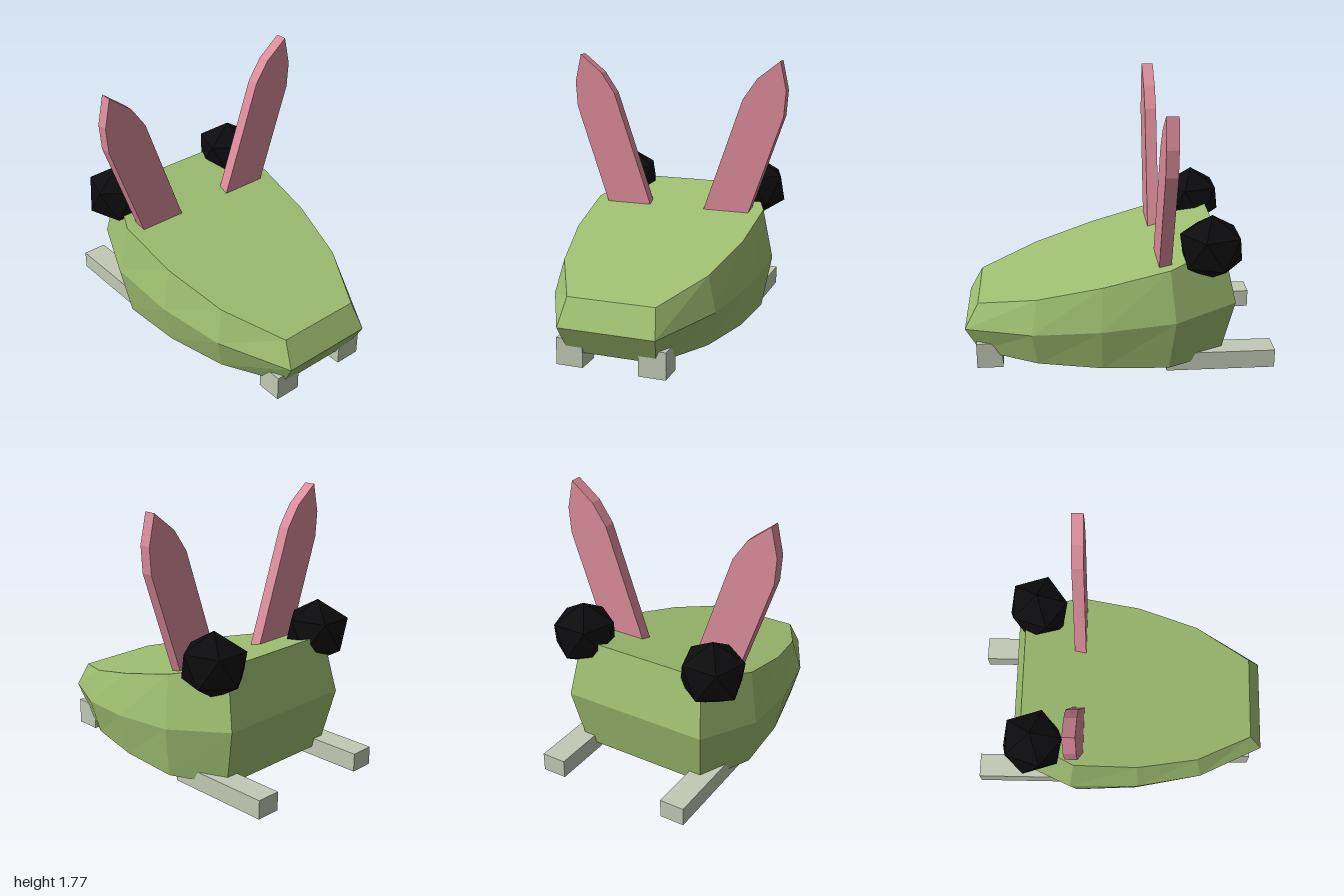
import * as THREE from 'three';

const flat = (name, color) => {
  const m = new THREE.MeshStandardMaterial({ color, flatShading: true });
  m.name = name;
  return m;
};

// Close a half outline (front to back on +z) by mirroring it, with a height rule y(x)
function ring(half, height) {
  const other = half.map(([x, z]) => [x, -z]).reverse();
  return [...half, ...other].map(([x, z]) => [x, height(x), z]);
}

// Skin stacked rings with faceted sides and flat end caps
function loft(rings) {
  const pos = [];
  const tri = (...pts) => pts.forEach((p) => pos.push(...p));
  const n = rings[0].length;
  for (let r = 0; r < rings.length - 1; r++) {
    const lo = rings[r], up = rings[r + 1];
    for (let i = 0; i < n; i++) {
      const j = (i + 1) % n;
      tri(lo[j], lo[i], up[i]);
      tri(lo[j], up[i], up[j]);
    }
  }
  const bottom = rings[0], top = rings[rings.length - 1];
  for (let k = 1; k < n - 1; k++) {
    tri(bottom[0], bottom[k], bottom[k + 1]);
    tri(top[0], top[k + 1], top[k]);
  }
  const g = new THREE.BufferGeometry();
  g.setAttribute('position', new THREE.Float32BufferAttribute(pos, 3));
  g.computeVertexNormals();
  return g;
}

export function createModel() {
  const model = new THREE.Group();
  model.name = 'rabbit';
  const green = flat('bodyGreen', 0x9fbf71);
  const pink = flat('earPink', 0xdb8c9b);
  const grey = flat('pawGrey', 0xc2cab5);
  const black = flat('eyeBlack', 0x0c0c0e);

  const add = (name, geometry, material, x = 0, y = 0, z = 0) => {
    const mesh = new THREE.Mesh(geometry, material);
    mesh.name = name;
    mesh.position.set(x, y, z);
    model.add(mesh);
    return mesh;
  };

  // Wedge body: wide middle ring, inset top and bottom rings
  const wide = [[1, 0.315], [0.565, 0.54], [0.13, 0.637], [-0.335, 0.66], [-0.735, 0.49]];
  const inset = [[0.91, 0.285], [0.53, 0.485], [0.12, 0.577], [-0.3, 0.6], [-0.65, 0.44]];
  add('body', loft([
    ring(inset, () => 0.09),
    ring(wide, (x) => 0.389 - 0.124 * x),
    ring(inset, (x) => 0.683 - 0.272 * x),
  ]), green);

  // Eye: twenty-sided ball standing on one corner
  const eye = new THREE.IcosahedronGeometry(0.222, 0);
  eye.rotateZ(-Math.atan(2 / (1 + Math.sqrt(5))));
  eye.scale(1, 0.96, 1);

  // Ear outline as [z, y], base sunk into the body
  const earOutline = [
    [0.161, 0.65], [0.476, 0.65], [0.735, 1.41], [0.747, 1.58],
    [0.705, 1.77], [0.553, 1.65], [0.457, 1.51],
  ];

  for (const s of [1, -1]) {
    const side = s > 0 ? 'Front' : 'Back';
    add('eye' + side, eye, black, -0.567, 0.863, 0.475 * s);

    const shape = new THREE.Shape(earOutline.map(([z, y]) => new THREE.Vector2(z * s, y)));
    const ear = new THREE.ExtrudeGeometry(shape, { depth: 0.077, bevelEnabled: false });
    ear.rotateY(-Math.PI / 2);
    add('ear' + side, ear, pink, -0.239, 0, 0);

    add('forePaw' + side, new THREE.BoxGeometry(0.17, 0.173, 0.174), grey, 0.845, 0.0865, 0.268 * s);
    add('hindFoot' + side, new THREE.BoxGeometry(0.705, 0.122, 0.163), grey, -0.6475, 0.09, 0.449 * s);
  }
  return model;
}
